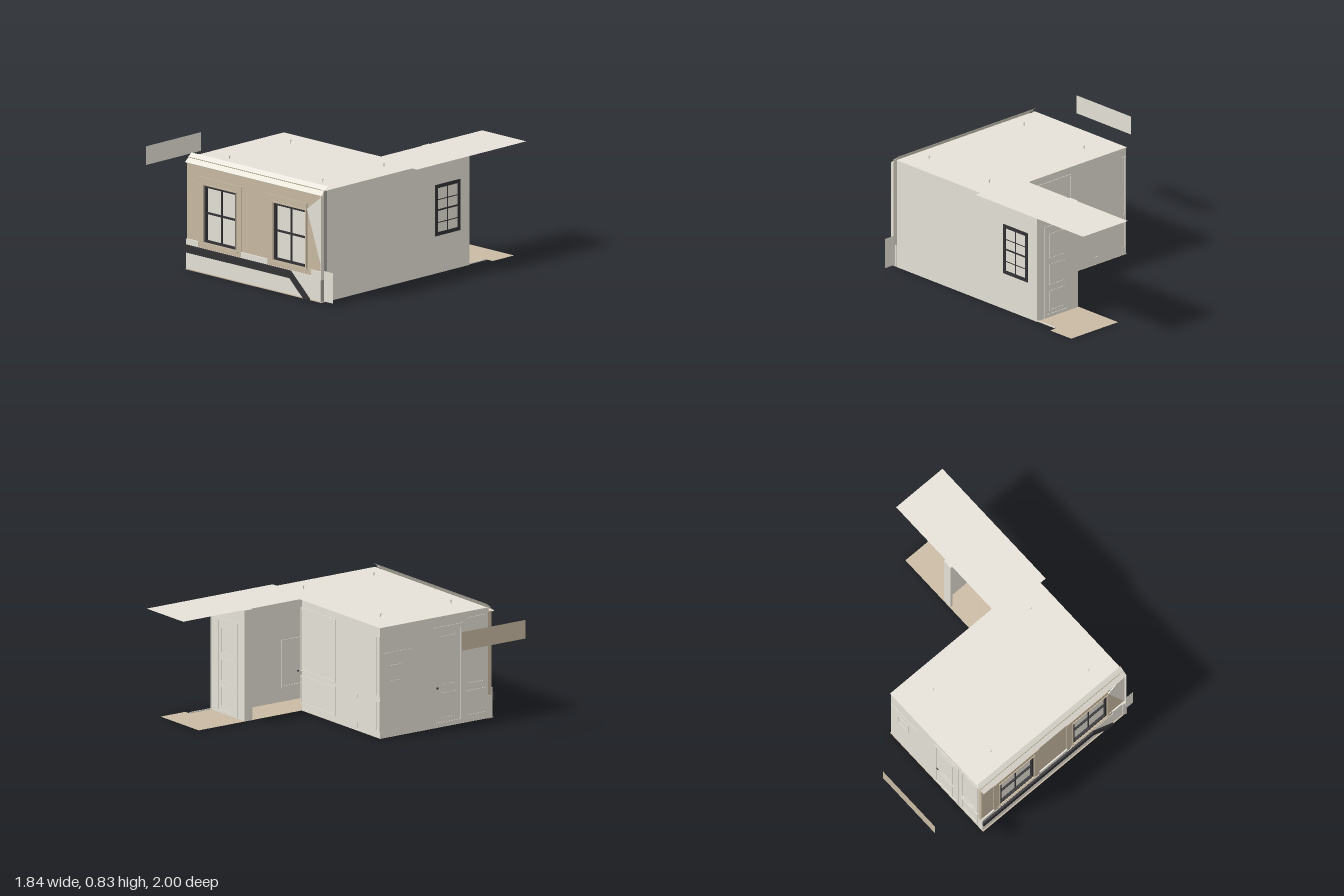
import * as THREE from 'three';

const mat = (name, color, side = THREE.FrontSide) => {
  const m = new THREE.MeshStandardMaterial({ color, side });
  m.name = name;
  return m;
};

export function createModel() {
  const model = new THREE.Group();
  model.name = 'cutawayRoom';
  const plaster = mat('plasterGrey', 0xe5e1d7);
  const plasterSheet = mat('plasterSheet', 0xe5e1d7, THREE.DoubleSide);
  const tan = mat('tanBrown', 0xc9baa3);
  const tanSheet = mat('tanSheet', 0xc9baa3, THREE.DoubleSide);
  const black = mat('blackPaint', 0x333335);
  const stone = mat('endStone', 0xa3a097);
  const olive = mat('oliveLine', 0xa5a286);

  const add = (parent, name, geo, material) => {
    const m = new THREE.Mesh(geo, material);
    m.name = name;
    parent.add(m);
    return m;
  };
  // box from its lower and upper limits
  const box = (parent, name, material, x0, x1, y0, y1, z0, z1) => {
    const m = add(parent, name, new THREE.BoxGeometry(x1 - x0, y1 - y0, z1 - z0), material);
    m.position.set((x0 + x1) / 2, (y0 + y1) / 2, (z0 + z1) / 2);
  };
  const shapeOf = (pts) => new THREE.Shape(pts.map(([x, y]) => new THREE.Vector2(x, y)));
  const rect = (x0, x1, y0, y1) => [[x0, y0], [x1, y0], [x1, y1], [x0, y1]];
  // upright panel with optional rectangular holes
  const panel = (parent, name, material, pts, z0, z1, holes = []) => {
    const s = shapeOf(pts);
    holes.forEach((h) => s.holes.push(new THREE.Path(rect(...h).map(([x, y]) => new THREE.Vector2(x, y)))));
    const m = add(parent, name, new THREE.ExtrudeGeometry(s, { depth: z1 - z0, bevelEnabled: false }), material);
    m.position.z = z0;
  };
  const frame = (parent, name, material, x0, x1, y0, y1, t, z0, z1) =>
    panel(parent, name, material, rect(x0, x1, y0, y1), z0, z1, [[x0 + t, x1 - t, y0 + t, y1 - t]]);
  // horizontal sheet from an outline in x and z
  const flat = (name, material, pts, y) => {
    const m = add(model, name, new THREE.ShapeGeometry(shapeOf(pts)).rotateX(Math.PI / 2), material);
    m.position.y = y;
  };
  // group whose local z points out of a wall
  const face = (name, rotation, x, z) => {
    const g = new THREE.Group();
    g.name = name;
    g.rotation.y = rotation;
    g.position.set(x, 0, z);
    model.add(g);
    return g;
  };

  // floor, carpet and ceiling
  flat('floor', tanSheet, [[-0.5, 0.97], [0.832, 0.97], [0.832, -0.665], [0.882, -0.665], [0.882, -0.88],
    [0.43, -0.88], [0.43, 0.01], [-0.5, 0.01]], 0.003);
  flat('carpetUnderside', plasterSheet, rect(-0.15, 0.48, 0.3, 0.92), 0);
  flat('carpet', plasterSheet, rect(-0.15, 0.48, 0.3, 0.92), 0.006);
  box(model, 'threshold', plaster, 0.826, 0.832, 0.003, 0.012, -0.665, -0.48);
  flat('ceiling', plasterSheet, [[-0.5, 0.94], [0.835, 0.94], [0.835, 0.09], [0.882, 0.09], [0.882, -1],
    [0.45, -1], [0.45, 0.01], [-0.5, 0.01]], 0.805);
  for (const x of [-0.258, 0.655]) for (const z of [0.19, 0.8]) {
    const rod = add(model, 'ceilingHook', new THREE.CylinderGeometry(0.004, 0.004, 0.02, 8), plaster);
    rod.position.set(x, 0.814, z);
    const knob = add(model, 'hookKnob', new THREE.SphereGeometry(0.007, 10, 8), plaster);
    knob.position.set(x, 0.827, z);
  }

  // plain walls
  box(model, 'rightWall', plaster, 0.82, 0.833, 0, 0.804, -0.483, 0.94);
  box(model, 'leftWall', plaster, -0.496, -0.486, 0.003, 0.804, 0.014, 0.95);
  box(model, 'backWall', plaster, -0.496, 0.43, 0.003, 0.804, 0.014, 0.024);
  box(model, 'alcoveWall', plaster, 0.455, 0.83, 0.003, 0.804, -0.48, -0.47);
  box(model, 'alcoveJamb', plaster, 0.437, 0.455, 0.003, 0.804, -0.48, -0.41);
  box(model, 'innerLining', plaster, 0.7, 0.706, 0.003, 0.804, -0.47, 0.93);

  // street front
  const windows = [[-0.33, -0.014], [0.351, 0.667]];
  const [y0, y1] = [0.225, 0.635];
  const openings = windows.map(([a, b]) => [a, b, y0, y1]);
  const front = face('streetFront', 0, 0, 0);
  panel(front, 'frontWall', tan, rect(-0.5, 0.833, 0.17, 0.775), 0.945, 0.974, openings);
  panel(front, 'bareWallPatch', plaster, [[0.678, 0.65], [0.833, 0.22], [0.833, 0.77]], 0.974, 0.981);
  box(front, 'plinth', plaster, -0.5, 0.833, 0.006, 0.178, 0.945, 0.984);
  box(front, 'baseStrip', tan, -0.5, 0.833, 0, 0.006, 0.945, 0.992);
  for (const [a, b] of [[-0.5, -0.385], [0.035, 0.295], [0.72, 0.833]])
    box(front, 'plinthPanel', plaster, a, b, 0.178, 0.22, 0.97, 0.984);
  windows.forEach(([a, b], i) => {
    const m = (a + b) / 2;
    const w = new THREE.Group();
    w.name = 'frontWindow';
    front.add(w);
    panel(w, 'windowSurround', tan, rect(a - 0.056, i ? b + 0.009 : b + 0.049, 0.178, 0.69), 0.974, 0.98, [openings[i]]);
    if (i) box(w, 'surroundFoot', tan, b + 0.009, 0.72, 0.178, 0.22, 0.974, 0.98);
    frame(w, 'windowCasing', tan, a - 0.01, b + 0.008, y0 - 0.01, y1 + 0.012, 0.008, 0.98, 0.986);
    box(w, 'windowSill', tan, a - 0.02, b + 0.015, 0.207, 0.216, 0.98, 0.99);
    box(w, 'windowPane', plaster, a, b, y0, y1, 0.95, 0.956);
    frame(w, 'windowFrame', black, a, b, y0, y1, 0.014, 0.956, 0.976);
    box(w, 'verticalBar', black, m - 0.004, m + 0.004, y0, y1, 0.956, 0.966);
    box(w, 'meetingRail', black, a, b, 0.43, 0.442, 0.956, 0.97);
  });
  panel(front, 'slopingBand', black, [[-0.5, 0.125], [0.525, 0.125], [0.66, 0.002], [0.72, 0.002],
    [0.525, 0.178], [-0.5, 0.178]], 0.984, 1);

  // cornice: an open moulding that slopes back, given as y and z from the top down
  const profile = [[0.833, 0.932], [0.808, 0.962], [0.804, 0.962], [0.775, 0.998], [0.77, 0.974]];
  const strip = new THREE.PlaneGeometry(1.335, 1, 1, profile.length - 1);
  profile.forEach(([y, z], i) => [0, 1].forEach((side) =>
    strip.attributes.position.setXYZ(i * 2 + side, side ? 0.835 : -0.5, y, z)));
  const cornice = strip.toNonIndexed();
  cornice.computeVertexNormals();
  add(front, 'cornice', cornice, plasterSheet);
  box(front, 'corniceLine', olive, -0.5, 0.8, 0.804, 0.808, 0.96, 0.966);
  box(front, 'corniceShadowLine', olive, -0.5, 0.833, 0.766, 0.773, 0.97, 0.982);

  // right corner of the street front
  box(front, 'cornerStrip', stone, 0.829, 0.835, 0.165, 0.803, 0.938, 0.972);
  box(front, 'cornerReveal', plaster, 0.829, 0.834, 0.165, 0.773, 0.972, 0.997);
  box(front, 'cornerFoot', stone, 0.829, 0.835, 0.01, 0.165, 0.966, 1);
  box(front, 'cornerBlock', plaster, 0.802, 0.829, 0.006, 0.215, 0.97, 0.99);
  const plate = add(front, 'sidePlate', new THREE.PlaneGeometry(0.086, 0.22), plasterSheet);
  plate.position.set(0.878, 0.118, 0.968);

  // window in the right wall; local x runs towards -z
  const right = face('rightWindow', Math.PI / 2, 0.833, 0);
  frame(right, 'windowFrame', black, 0.14, 0.39, 0.27, 0.64, 0.026, 0, 0.003);
  box(right, 'verticalBar', black, 0.261, 0.269, 0.28, 0.63, 0, 0.002);
  for (const [y, h] of [[0.53, 0.003], [0.455, 0.006], [0.365, 0.003]])
    box(right, 'crossBar', black, 0.155, 0.375, y - h, y + h, 0, 0.002);

  // panelling on the left wall; local x runs towards +z
  const left = face('leftPanelling', -Math.PI / 2, -0.496, 0);
  frame(left, 'upperPanel', plaster, 0.76, 0.93, 0.27, 0.76, 0.014, 0, 0.004);
  frame(left, 'lowerPanel', plaster, 0.76, 0.93, 0.04, 0.23, 0.014, 0, 0.004);
  frame(left, 'doorCasing', plaster, 0.47, 0.73, 0.012, 0.73, 0.025, 0, 0.004);
  for (const [a, b] of [[0.06, 0.25], [0.3, 0.66]])
    frame(left, 'doorPanel', plaster, 0.53, 0.67, a, b, 0.01, 0, 0.003);
  box(left, 'doorKnob', black, 0.5, 0.515, 0.28, 0.295, 0, 0.004);
  frame(left, 'wallPlate', plaster, 0.09, 0.2, 0.4, 0.52, 0.008, 0, 0.003);
  box(left, 'pictureRail', plaster, 0.02, 0.28, 0.61, 0.616, 0, 0.003);

  // panelling on the back wall; local x runs towards -x
  const back = face('backPanelling', Math.PI, 0, 0.014);
  frame(back, 'upperPanel', plaster, -0.44, -0.03, 0.29, 0.75, 0.012, 0, 0.004);
  frame(back, 'lowerPanel', plaster, -0.44, -0.03, 0.05, 0.26, 0.012, 0, 0.004);
  frame(back, 'narrowUpperPanel', plaster, 0.45, 0.49, 0.3, 0.74, 0.008, 0, 0.004);
  frame(back, 'narrowLowerPanel', plaster, 0.45, 0.49, 0.05, 0.27, 0.008, 0, 0.004);
  box(back, 'switchPlate', plaster, 0.19, 0.225, 0.24, 0.265, 0, 0.004);
  box(back, 'socketPlate', plaster, 0.19, 0.225, 0.02, 0.06, 0, 0.004);

  // door in the alcove's end wall
  const end = face('alcoveDoor', Math.PI, 0, -0.48);
  frame(end, 'doorCasing', plaster, -0.76, -0.52, 0.008, 0.69, 0.02, 0, 0.004);
  for (const [a, b] of [[0.05, 0.2], [0.24, 0.4], [0.44, 0.63]])
    frame(end, 'doorPanel', plaster, -0.71, -0.57, a, b, 0.008, 0, 0.003);

  // door panel on the inner lining; local x runs towards +z
  const inner = face('insideDoor', -Math.PI / 2, 0.7, 0);
  frame(inner, 'doorCasing', plaster, 0.03, 0.27, 0.1, 0.45, 0.016, 0, 0.005);
  box(inner, 'doorKnob', black, 0.17, 0.18, 0.2, 0.21, 0, 0.008);

  // detached hanging card beside the left wall, grey inside and tan outside
  for (const [name, material, turn, x] of [['hangingCardInner', plaster, 1, -0.919], ['hangingCardOuter', tan, -1, -0.92]]) {
    const card = add(model, name, new THREE.PlaneGeometry(0.55, 0.135), material);
    card.rotation.y = (turn * Math.PI) / 2;
    card.position.set(x, 0.737, 0.685);
  }

  return model;
}
